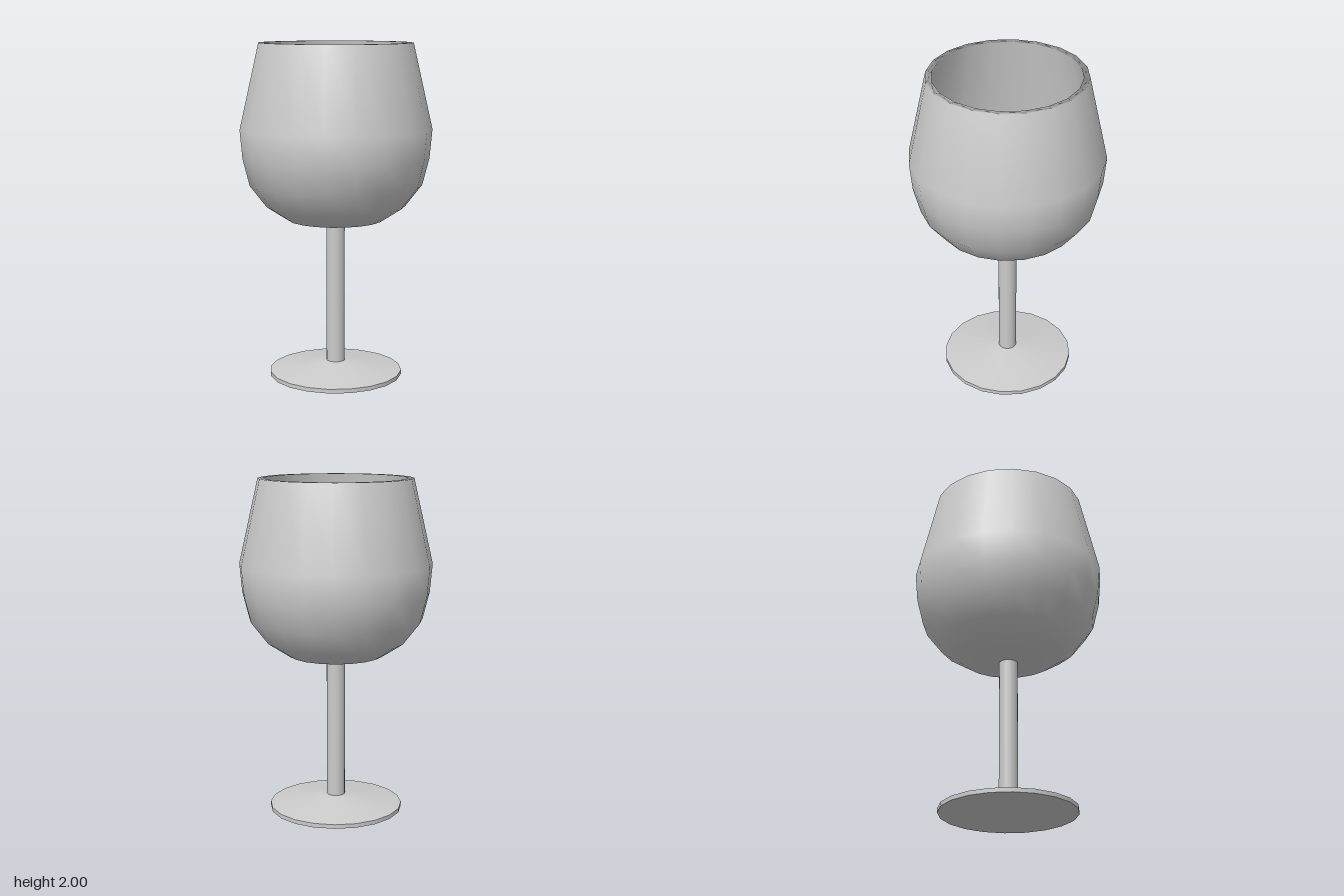
import * as THREE from 'three';

const SIDES = 20;

export function createModel() {
  const group = new THREE.Group();
  const material = new THREE.MeshStandardMaterial({ color: 0xcccccc });

  const add = (name, geometry, y = 0) => {
    const mesh = new THREE.Mesh(geometry, material);
    mesh.name = name;
    mesh.position.y = y;
    group.add(mesh);
  };
  const lathe = (profile) =>
    new THREE.LatheGeometry(profile.map(([r, y]) => new THREE.Vector2(r, y)), SIDES);

  // Bowl: outer wall up to the rim, then the inner wall down to the floor
  add('bowl', lathe([
    [0, 0.92], [0.055, 0.925], [0.285, 0.955], [0.415, 1.04], [0.515, 1.17],
    [0.555, 1.33], [0.57, 1.5], [0.455, 2],
    [0.42, 2], [0.535, 1.5], [0.52, 1.34], [0.485, 1.19], [0.39, 1.07],
    [0.27, 0.99], [0, 0.96],
  ]));

  // Stem, running slightly into the bowl and the foot
  add('stem', new THREE.CylinderGeometry(0.055, 0.055, 0.865, SIDES, 1, true), 0.5025);

  // Foot: a shallow cone on a thin flat disc
  add('footSlope', lathe([[0.4, 0.025], [0.055, 0.08]]));
  add('footRim', lathe([[0.4, 0], [0.4, 0.025]]));
  add('footBase', lathe([[0, 0], [0.4, 0]]));

  return group;
}
